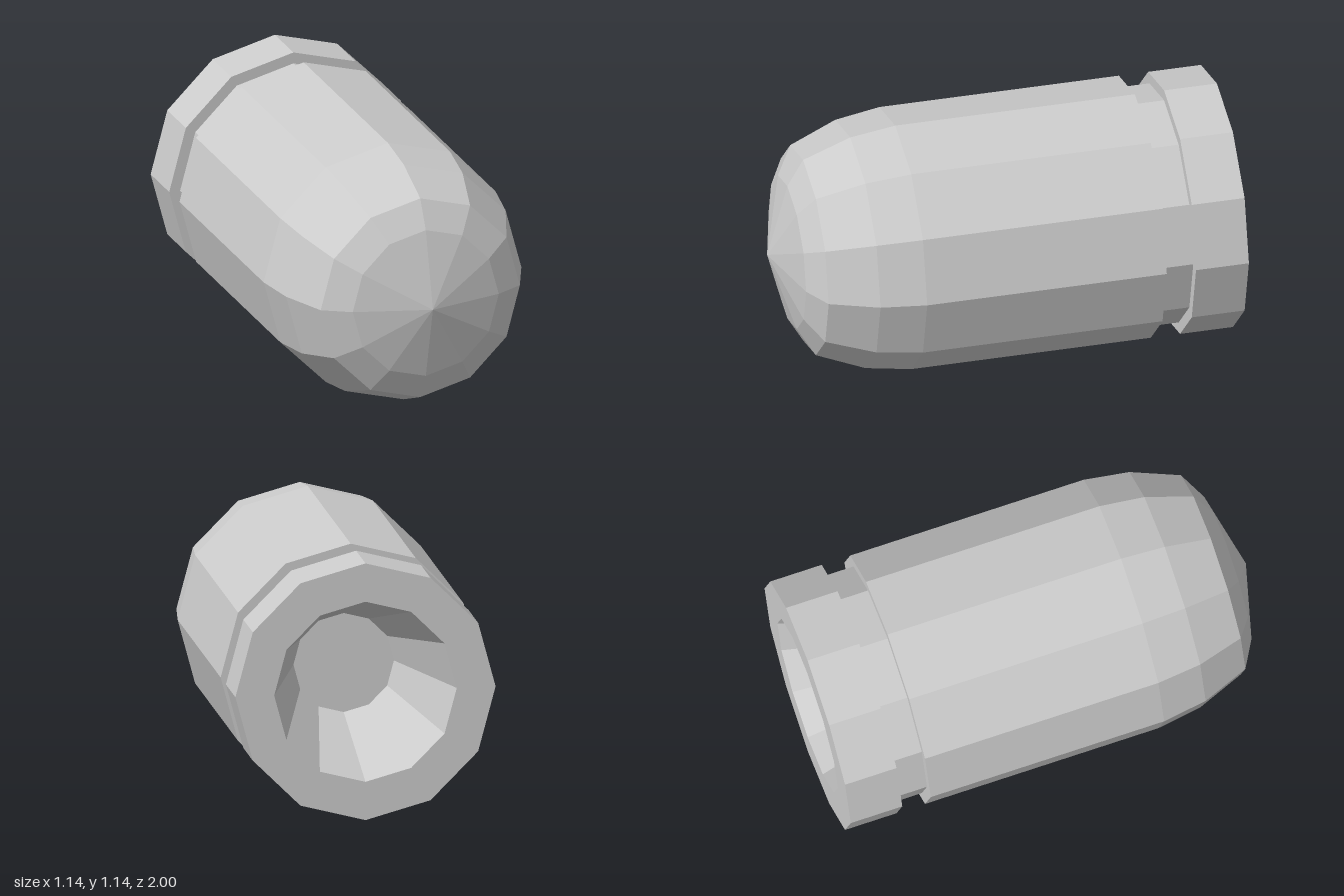
import * as THREE from 'three';

const SIDES = 12;
const R = 0.57; // outer radius

export function createModel() {
  const group = new THREE.Group();
  group.name = 'bullet';
  const material = new THREE.MeshStandardMaterial({ color: 0xcccccc, flatShading: true });

  // Turned part lying along z; profile points are [radius, z], running from back to front
  const addTurned = (name, profile) => {
    const points = profile.map(([r, z]) => new THREE.Vector2(r, z));
    const geometry = new THREE.LatheGeometry(points, SIDES);
    geometry.rotateX(Math.PI / 2);
    const mesh = new THREE.Mesh(geometry, material);
    mesh.name = name;
    mesh.position.y = R;
    group.add(mesh);
  };

  // Tapered hollow in the base, with a flat floor
  addTurned('baseCavity', [[0, -0.46], [0.22, -0.46], [0.4, -1]]);

  // Rear band with its flat rim and front shoulder
  addTurned('rearBand', [[0.4, -1], [R, -1], [R, -0.765], [0.52, -0.765]]);

  // Recessed ring between band and body
  addTurned('groove', [[0.52, -0.765], [0.52, -0.635]]);

  // Straight body curving in towards the nose
  addTurned('body', [[0.52, -0.635], [R, -0.635], [R, 0.43], [0.54, 0.63], [0.457, 0.84]]);

  // Blunt pointed nose
  addTurned('nose', [[0.457, 0.84], [0.335, 0.91], [0, 1]]);

  return group;
}
